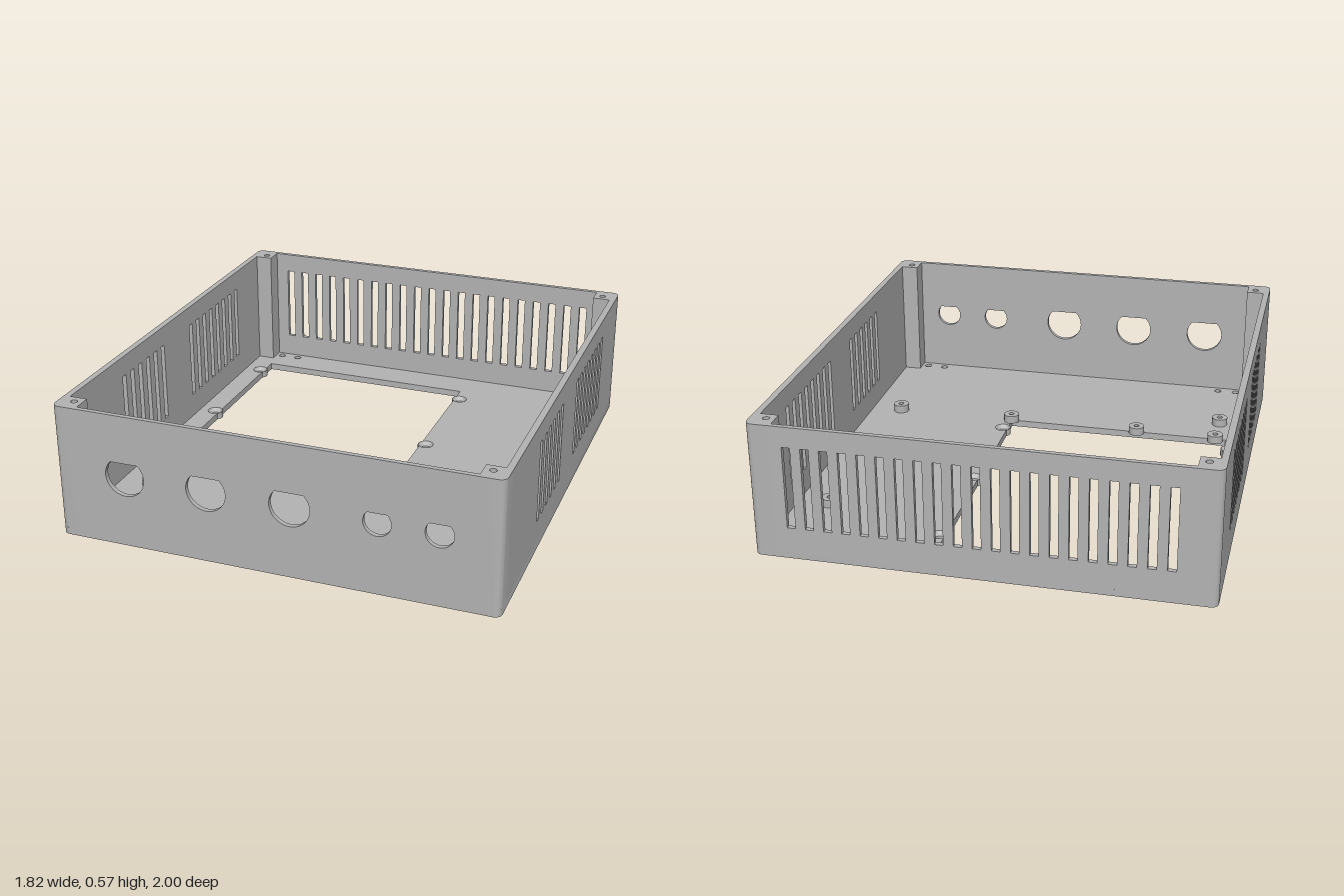
import * as THREE from 'three';
import { toCreasedNormals } from 'three/addons/utils/BufferGeometryUtils.js';

const W = 0.912, D = 1, H = 0.566, FLOOR = 0.03; // half width, half depth, height, floor thickness
const TX = 0.027, TZ = 0.02;                     // wall thicknesses
const PX = 0.81, PZ = 0.9, R = 0.03;             // inner post faces, outer corner radius

const grey = new THREE.MeshStandardMaterial({ color: 0xb3b3b3 });
grey.name = 'grey plastic';

export function createModel() {
  const model = new THREE.Group();
  model.name = 'ventedEnclosure';

  const add = (name, geometry, x = 0, y = 0, z = 0) => {
    const mesh = new THREE.Mesh(toCreasedNormals(geometry, 0.6), grey);
    mesh.name = name;
    mesh.position.set(x, y, z);
    model.add(mesh);
  };
  const extrude = (shape, depth) =>
    new THREE.ExtrudeGeometry(shape, { depth, bevelEnabled: false, curveSegments: 20 });
  const rect = (PathType, x0, y0, x1, y1) => {
    const p = new PathType();
    p.moveTo(x0, y0).lineTo(x1, y0).lineTo(x1, y1).lineTo(x0, y1).closePath();
    return p;
  };
  const circle = (x, y, r) => new THREE.Path().absarc(x, y, r, 0, Math.PI * 2, false);
  const slot = (x, w) => rect(THREE.Path, x - w / 2, 0.134, x + w / 2, 0.48);

  // Floor plan, drawn with y = -z
  const floor = new THREE.Shape();
  floor.moveTo(-W + R, -D);
  floor.absarc(W - R, -D + R, R, -Math.PI / 2, 0, false);
  floor.absarc(W - R, D - R, R, 0, Math.PI / 2, false);
  floor.absarc(-W + R, D - R, R, Math.PI / 2, Math.PI, false);
  floor.absarc(-W + R, -D + R, R, Math.PI, Math.PI * 1.5, false);

  // Large opening, with a round bite at each countersunk screw seat
  const x0 = -0.79, x1 = 0.207, y0 = -0.39, y1 = 0.828;
  const seatL = -0.813, seatR = 0.23, seatRadius = 0.036;
  const seatY = [-0.303, 0.218, 0.741];
  const opening = new THREE.Path();
  opening.moveTo(x0, y0);
  opening.lineTo(x1, y0);
  const aR = Math.PI - Math.acos((seatR - x1) / seatRadius);
  for (const y of seatY) opening.absarc(seatR, y, seatRadius, -aR, aR, false);
  opening.lineTo(x1, y1);
  opening.lineTo(x0, y1);
  const aL = Math.acos((x0 - seatL) / seatRadius);
  for (const y of [...seatY].reverse())
    opening.absarc(seatL, y, seatRadius, aL, Math.PI * 2 - aL, false);
  opening.closePath();
  floor.holes.push(opening);

  // Pairs of small holes near the floor corners
  for (const x of [-0.78, -0.695, 0.695, 0.78])
    for (const y of [-0.945, 0.947]) floor.holes.push(circle(x, y, 0.016));
  add('floor', extrude(floor, FLOOR).rotateX(-Math.PI / 2));

  // Countersunk screw seats
  const lathe = (pts) =>
    new THREE.LatheGeometry(pts.map(([x, y]) => new THREE.Vector2(x, y)), 32);
  const seat = [[0.02, 0], [seatRadius, 0], [seatRadius, FLOOR], [0.034, FLOOR], [0.02, 0.012], [0.02, 0]];
  for (const x of [seatL, seatR])
    for (const y of seatY) add('screwSeat', lathe(seat), x, 0, -y);

  // Standoffs with pilot holes
  const post = [[0.012, 0], [0.035, 0], [0.035, 0.035], [0.012, 0.035], [0.012, 0]];
  for (const [x, z] of [[0.746, -0.593], [0.746, 0.385], [0.208, 0.385],
    [-0.382, 0.382], [-0.744, 0.372], [-0.744, 0.56]])
    add('standoff', lathe(post), x, FLOOR, z);

  // Corner posts with lid screw holes
  for (const sx of [-1, 1]) for (const sy of [-1, 1]) {
    const s = new THREE.Shape();
    s.moveTo(sx * PX, sy * PZ);
    s.lineTo(sx * W, sy * PZ);
    s.lineTo(sx * W, sy * (D - R));
    for (let i = 1; i <= 8; i++) {
      const a = (i / 8) * Math.PI / 2;
      s.lineTo(sx * (W - R + R * Math.cos(a)), sy * (D - R + R * Math.sin(a)));
    }
    s.lineTo(sx * PX, sy * D);
    s.closePath();
    s.holes.push(circle(sx * 0.846, sy * 0.937, 0.014));
    add('cornerPost', extrude(s, H - FLOOR).rotateX(-Math.PI / 2), 0, FLOOR, 0);
  }

  // Front wall with teardrop connector holes
  const front = rect(THREE.Shape, -PX, FLOOR, PX, H);
  for (const [x, r] of [[-0.61, 0.083], [-0.263, 0.083], [0.083, 0.083], [0.432, 0.056], [0.673, 0.056]]) {
    const drop = new THREE.Path();
    drop.moveTo(x, 0.305 + r * Math.SQRT2);
    drop.absarc(x, 0.305, r, Math.PI * 0.75, Math.PI * 2.25, false);
    drop.closePath();
    front.holes.push(drop);
  }
  add('frontWall', extrude(front, TZ), 0, 0, D - TZ);

  // Back wall with a full row of vents
  const back = rect(THREE.Shape, -PX, FLOOR, PX, H);
  for (let i = 0; i < 21; i++) back.holes.push(slot(0.75 - 0.0743 * i, 0.034));
  add('backWall', extrude(back, TZ), 0, 0, -D);

  // Side walls with two groups of vents
  const side = rect(THREE.Shape, -PZ, FLOOR, PZ, H);
  for (let i = 0; i < 6; i++) side.holes.push(slot(-0.473 + 0.0695 * i, 0.029));
  for (let i = 0; i < 8; i++) side.holes.push(slot(0.152 + 0.0695 * i, 0.029));
  for (const [name, x] of [['leftWall', W - TX], ['rightWall', -W]])
    add(name, extrude(side, TX).rotateY(Math.PI / 2), x, 0, 0);

  return model;
}
